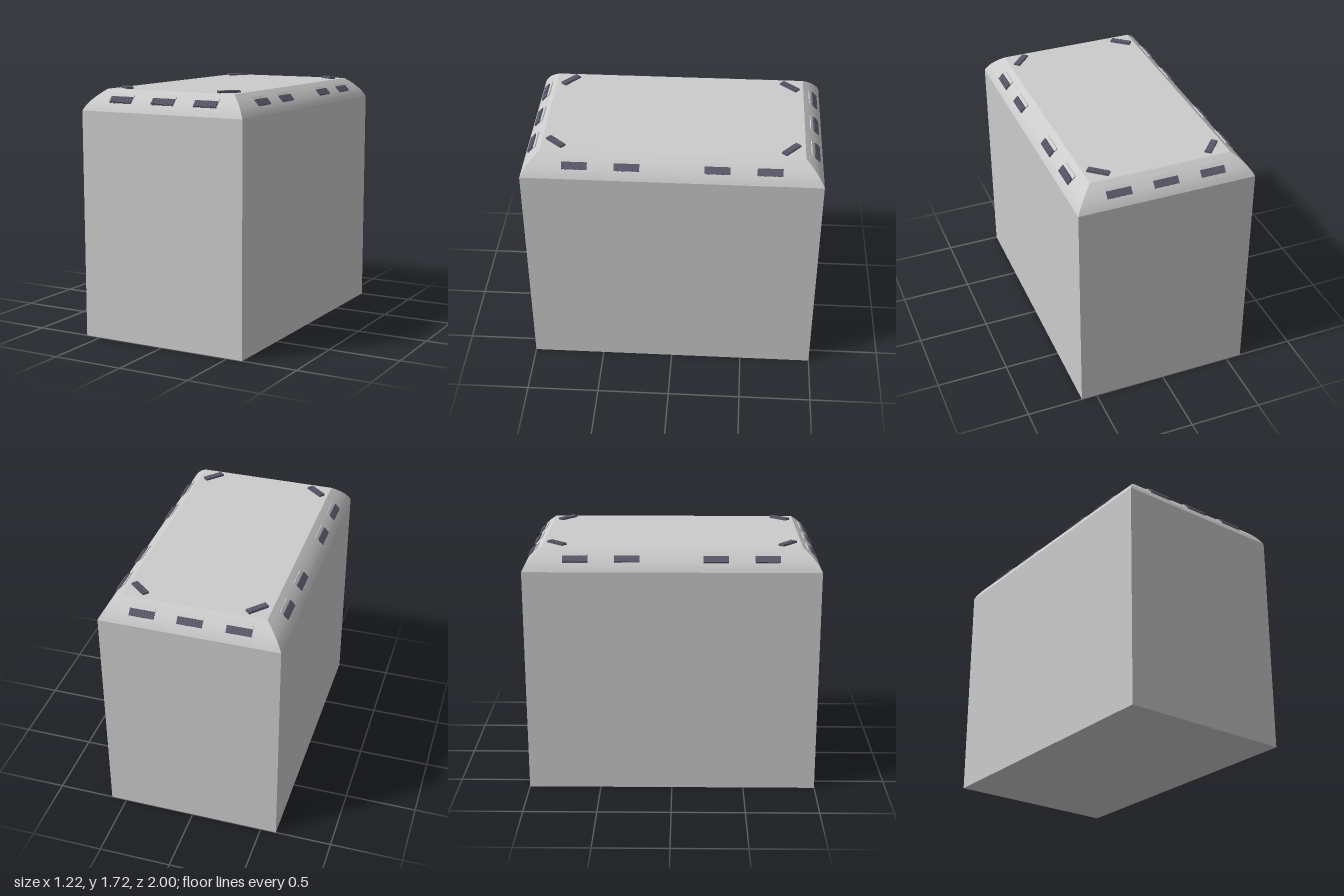
import * as THREE from 'three';
import { toCreasedNormals } from 'three/addons/utils/BufferGeometryUtils.js';

const HALF_X = 0.61, HALF_Z = 1, EAVE = 1.563, TOP = 1.705, INSET = 0.125;
const SLOPE = 0.84;
const grey = new THREE.MeshStandardMaterial({ color: 0xcccccc });
const dark = new THREE.MeshStandardMaterial({ color: 0x5a5a6c });

function add(parent, name, geometry, material, x, y, z) {
  const mesh = new THREE.Mesh(geometry, material);
  mesh.name = name;
  mesh.position.set(x, y, z);
  parent.add(mesh);
  return mesh;
}

// Walls, curved mitred shoulders and flat roof, lofted through rectangular rings
function bodyGeometry() {
  const curve = new THREE.QuadraticBezierCurve(
    new THREE.Vector2(0, EAVE), new THREE.Vector2(0.03, EAVE + 0.071), new THREE.Vector2(INSET, TOP));
  const profile = [new THREE.Vector2(0, 0), ...curve.getPoints(6)];
  const positions = [], index = [];
  for (const p of profile) {
    const x = HALF_X - p.x, z = HALF_Z - p.x;
    positions.push(x, p.y, z, x, p.y, -z, -x, p.y, -z, -x, p.y, z);
  }
  for (let i = 0; i < profile.length - 1; i++) {
    for (let j = 0; j < 4; j++) {
      const a = i * 4 + j, b = i * 4 + (j + 1) % 4;
      index.push(a, b, b + 4, a, b + 4, a + 4);
    }
  }
  const t = (profile.length - 1) * 4;
  index.push(t, t + 1, t + 2, t, t + 2, t + 3, 0, 2, 1, 0, 3, 2);
  const geometry = new THREE.BufferGeometry();
  geometry.setAttribute('position', new THREE.Float32BufferAttribute(positions, 3));
  geometry.setIndex(index);
  return toCreasedNormals(geometry, 0.35);
}

// Dark strip of raised segments, lying along its local x
function ribbedStrip(length, width, height) {
  const strip = new THREE.Group();
  strip.name = 'ribbedStrip';
  add(strip, 'stripBase', new THREE.BoxGeometry(length, height * 0.7, width), dark, 0, height * 0.35, 0);
  const count = 8, pitch = length / count;
  const rib = new THREE.BoxGeometry(pitch * 0.78, height * 0.45, width * 0.92);
  for (let i = 0; i < count; i++) {
    add(strip, 'stripSegment', rib, dark, (i + 0.5) * pitch - length / 2, height * 0.775, 0);
  }
  return strip;
}

// Mounting plate with a strip on its lower half, tilted to the shoulder
function shoulderVent(x, z, heading) {
  const vent = new THREE.Group();
  vent.name = 'shoulderVent';
  vent.position.set(x, EAVE + 0.075, z);
  vent.rotation.set(SLOPE, heading, 0, 'YXZ');
  add(vent, 'mountingPlate', new THREE.BoxGeometry(0.17, 0.02, 0.075), grey, 0, -0.006, -0.012);
  vent.add(ribbedStrip(0.168, 0.05, 0.014));
  return vent;
}

export function createModel() {
  const model = new THREE.Group();
  model.name = 'building';
  add(model, 'body', bodyGeometry(), grey, 0, 0, 0);

  for (const side of [1, -1]) {
    // Three vents on the front and back shoulders
    for (const x of [-0.325, 0, 0.32]) {
      model.add(shoulderVent(x, side * (HALF_Z - 0.05), side > 0 ? 0 : Math.PI));
    }
    // Four vents on each long shoulder
    for (const z of [-0.645, -0.3, 0.295, 0.64]) {
      model.add(shoulderVent(side * (HALF_X - 0.05), z, side * Math.PI / 2));
    }
    // Diagonal strips across the roof corners
    for (const end of [1, -1]) {
      const strip = ribbedStrip(0.148, 0.045, 0.015);
      strip.name = 'cornerStrip';
      strip.position.set(side * 0.392, TOP, end * 0.78);
      strip.rotation.y = side * end * (side * end > 0 ? 0.84 : 0.7);
      model.add(strip);
    }
  }
  return model;
}
